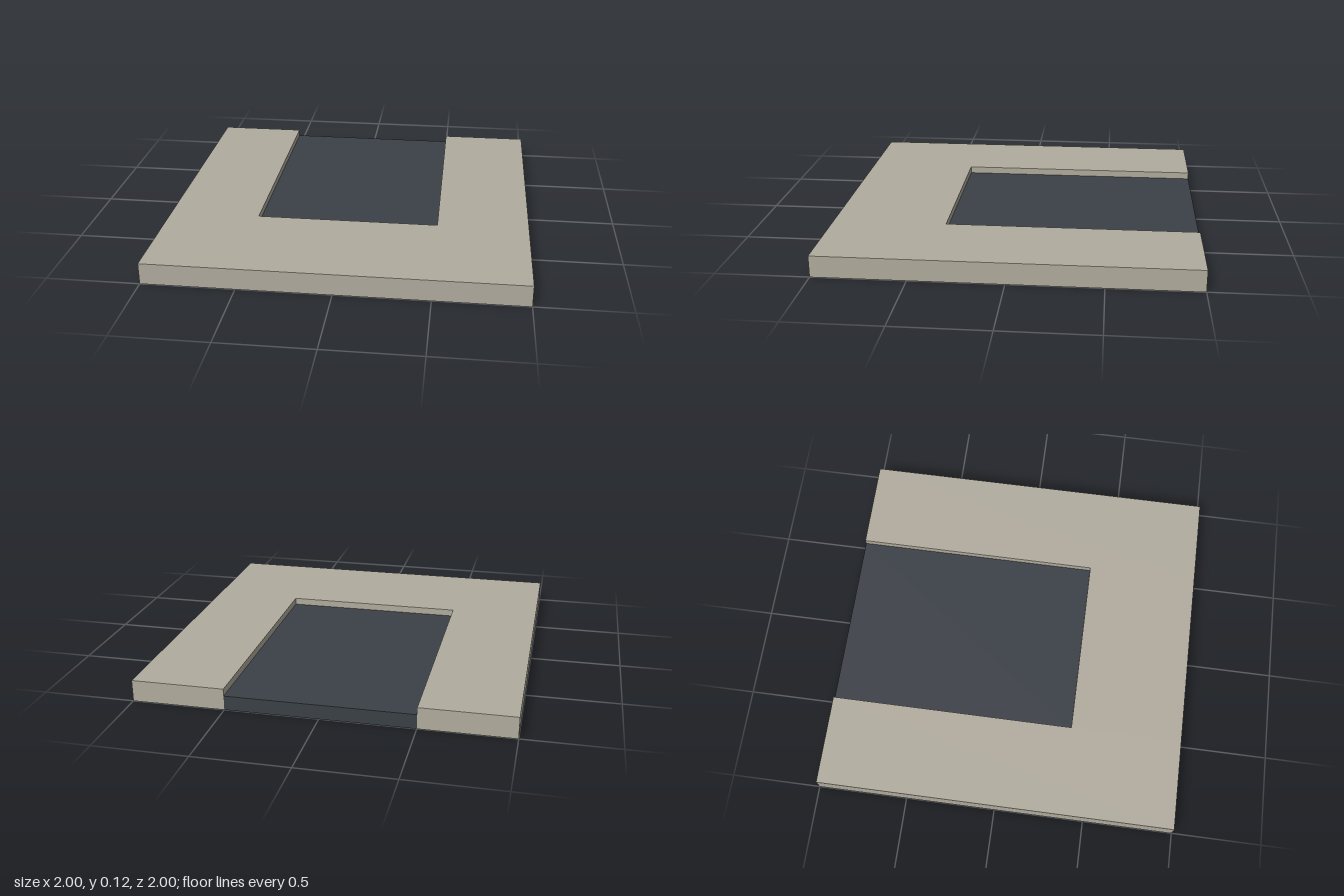
import * as THREE from 'three';

const HEIGHT = 0.117, FLOOR = 0.078, INNER = 0.5, NOTCH_Z = 0.375;

// Box standing on y = 0 that keeps only the listed faces (thin sheets)
const FACES = ['px', 'nx', 'py', 'ny', 'pz', 'nz'];
function shell(name, x0, x1, h, z0, z1, keep, material) {
  const geo = new THREE.BoxGeometry(x1 - x0, h, z1 - z0);
  const all = Array.from(geo.index.array);
  geo.setIndex(keep.flatMap((f) => {
    const start = FACES.indexOf(f) * 6;
    return all.slice(start, start + 6);
  }));
  geo.clearGroups();
  geo.translate((x0 + x1) / 2, h / 2, (z0 + z1) / 2);
  const mesh = new THREE.Mesh(geo, material);
  mesh.name = name;
  return mesh;
}

export function createModel() {
  const stone = new THREE.MeshStandardMaterial({ name: 'beige stone', color: 0xb1ac9e, side: THREE.DoubleSide });
  const asphalt = new THREE.MeshStandardMaterial({ name: 'dark asphalt', color: 0x3b4047, side: THREE.DoubleSide });
  const group = new THREE.Group();
  group.name = 'pavedTile';

  // Side strips: hollow, open underneath
  const hollow = ['px', 'nx', 'py', 'pz', 'nz'];
  group.add(shell('leftPavement', INNER, 1, HEIGHT, -1, 1, hollow, stone));
  group.add(shell('rightPavement', -1, -INNER, HEIGHT, -1, 1, hollow, stone));

  // Front strip closing the end of the recess
  group.add(shell('frontPavement', -INNER, INNER, HEIGHT, NOTCH_Z, 1, ['py', 'ny', 'pz', 'nz'], stone));

  // Sunken road surface with its rear edge
  group.add(shell('roadSurface', -INNER, INNER, FLOOR, -1, NOTCH_Z, ['py', 'nz'], asphalt));
  return group;
}
